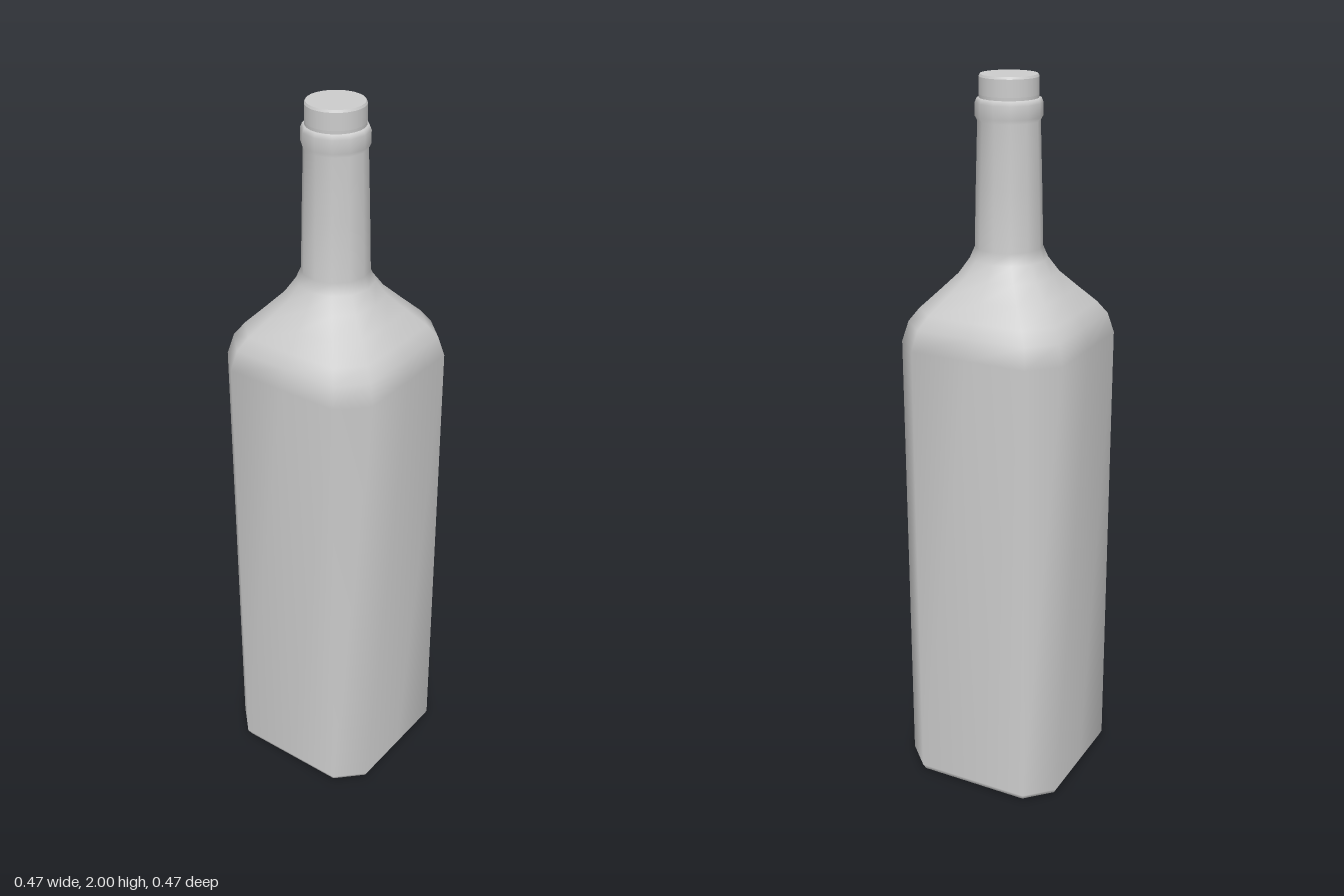
import * as THREE from 'three';

const SIDES = 12;
// Chamfered-square section (unit half width), one quarter turn of three points
const QUARTER = [[1, 0], [1, 0.7], [0.7, 1]];

// Point i of a ring, blended from circle (square = 0) to chamfered square (square = 1)
function sectionPoint(i, square) {
  const a = (i / SIDES) * Math.PI * 2;
  const q = Math.floor(i / 3);
  let [x, z] = QUARTER[i % 3];
  for (let k = 0; k < q; k++) [x, z] = [-z, x];
  return [
    THREE.MathUtils.lerp(Math.cos(a), x, square),
    THREE.MathUtils.lerp(Math.sin(a), z, square),
  ];
}

// Smooth loft through rings of [height, half width, squareness]
function loft(rings) {
  const pos = [], index = [];
  for (const [y, r, square] of rings) {
    for (let i = 0; i < SIDES; i++) {
      const [x, z] = sectionPoint(i, square);
      pos.push(x * r, y, z * r);
    }
  }
  for (let j = 0; j < rings.length - 1; j++) {
    for (let i = 0; i < SIDES; i++) {
      const a = j * SIDES + i, b = j * SIDES + (i + 1) % SIDES;
      const c = a + SIDES, d = b + SIDES;
      index.push(a, c, b, b, c, d);
    }
  }
  // Close the base
  const centre = pos.length / 3;
  pos.push(0, rings[0][0], 0);
  for (let i = 0; i < SIDES; i++) index.push(centre, i, (i + 1) % SIDES);

  const geo = new THREE.BufferGeometry();
  geo.setAttribute('position', new THREE.Float32BufferAttribute(pos, 3));
  geo.setIndex(index);
  geo.computeVertexNormals();
  return geo;
}

export function createModel() {
  const group = new THREE.Group();
  group.name = 'bottle';
  const material = new THREE.MeshStandardMaterial({ color: 0xcccccc });
  const add = (name, geometry) => {
    const mesh = new THREE.Mesh(geometry, material);
    mesh.name = name;
    group.add(mesh);
    return mesh;
  };

  // Square body, rounding shoulder, tapering neck and lip as one skin
  add('glassBody', loft([
    [0, 0.217, 1],
    [0.006, 0.228, 1],
    [0.022, 0.236, 1],
    [1.31, 0.236, 1],
    [1.365, 0.222, 0.97],
    [1.4, 0.2, 0.88],
    [1.445, 0.162, 0.65],
    [1.49, 0.125, 0.3],
    [1.53, 0.102, 0.05],
    [1.56, 0.09, 0],
    [1.72, 0.086, 0],
    [1.885, 0.081, 0],
    [1.896, 0.087, 0],
    [1.93, 0.087, 0],
    [1.942, 0.082, 0],
    [1.942, 0.07, 0],
  ]));

  // Stopper seated in the lip
  const stopper = add('stopper', new THREE.LatheGeometry([
    [0.076, 1.935], [0.077, 1.95], [0.077, 1.95], [0.077, 1.994],
    [0.077, 1.994], [0.074, 2], [0.074, 2], [0, 2],
  ].map(([r, y]) => new THREE.Vector2(r, y)), 24));
  stopper.geometry.computeBoundingBox();

  return group;
}
